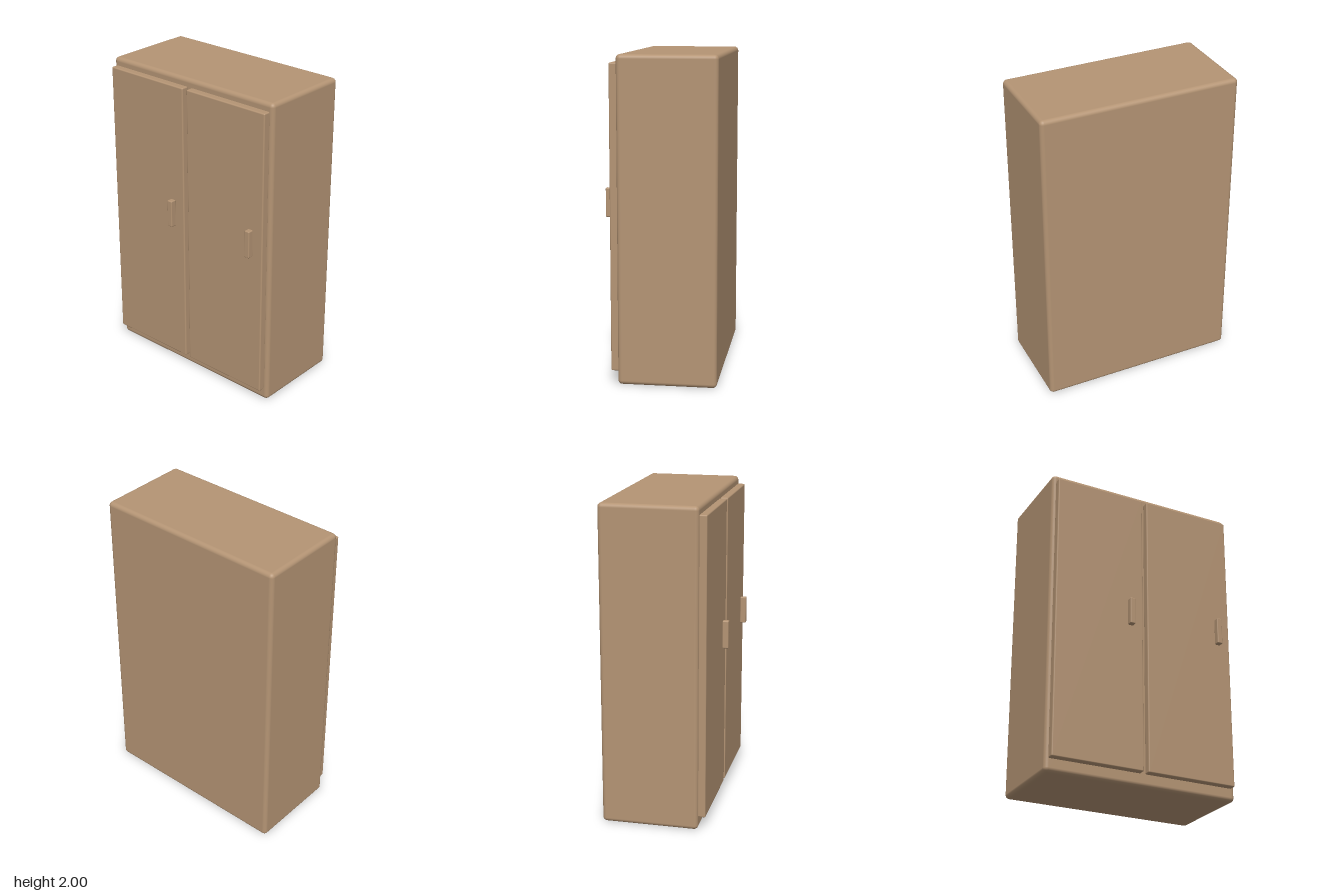
import * as THREE from 'three';
import { RoundedBoxGeometry } from 'three/addons/geometries/RoundedBoxGeometry.js';

export function createModel() {
  const wardrobe = new THREE.Group();
  wardrobe.name = 'wardrobe';
  const wood = new THREE.MeshStandardMaterial({ color: 0xb49474 });
  wood.name = 'tan wood';

  // Rounded block given by its [min, max] along each axis
  function block(name, x, y, z, radius) {
    const size = [x, y, z].map(([a, b]) => b - a);
    const mid = [x, y, z].map(([a, b]) => (a + b) / 2);
    const mesh = new THREE.Mesh(new RoundedBoxGeometry(...size, 4, radius), wood);
    mesh.name = name;
    mesh.position.set(...mid);
    wardrobe.add(mesh);
  }

  // Cabinet body
  block('cabinet', [-0.639, 0.639], [0, 2], [-0.345, 0.26], 0.026);

  // Two identical doors, both with the handle near their +x edge
  for (const [side, x] of [['right', -0.617], ['left', 0.014]]) {
    block(side + 'Door', [x, x + 0.599], [0.08, 1.95], [0.255, 0.305], 0.008);
    block(side + 'Handle', [x + 0.492, x + 0.528], [1.02, 1.197], [0.304, 0.343], 0.006);
  }
  return wardrobe;
}
